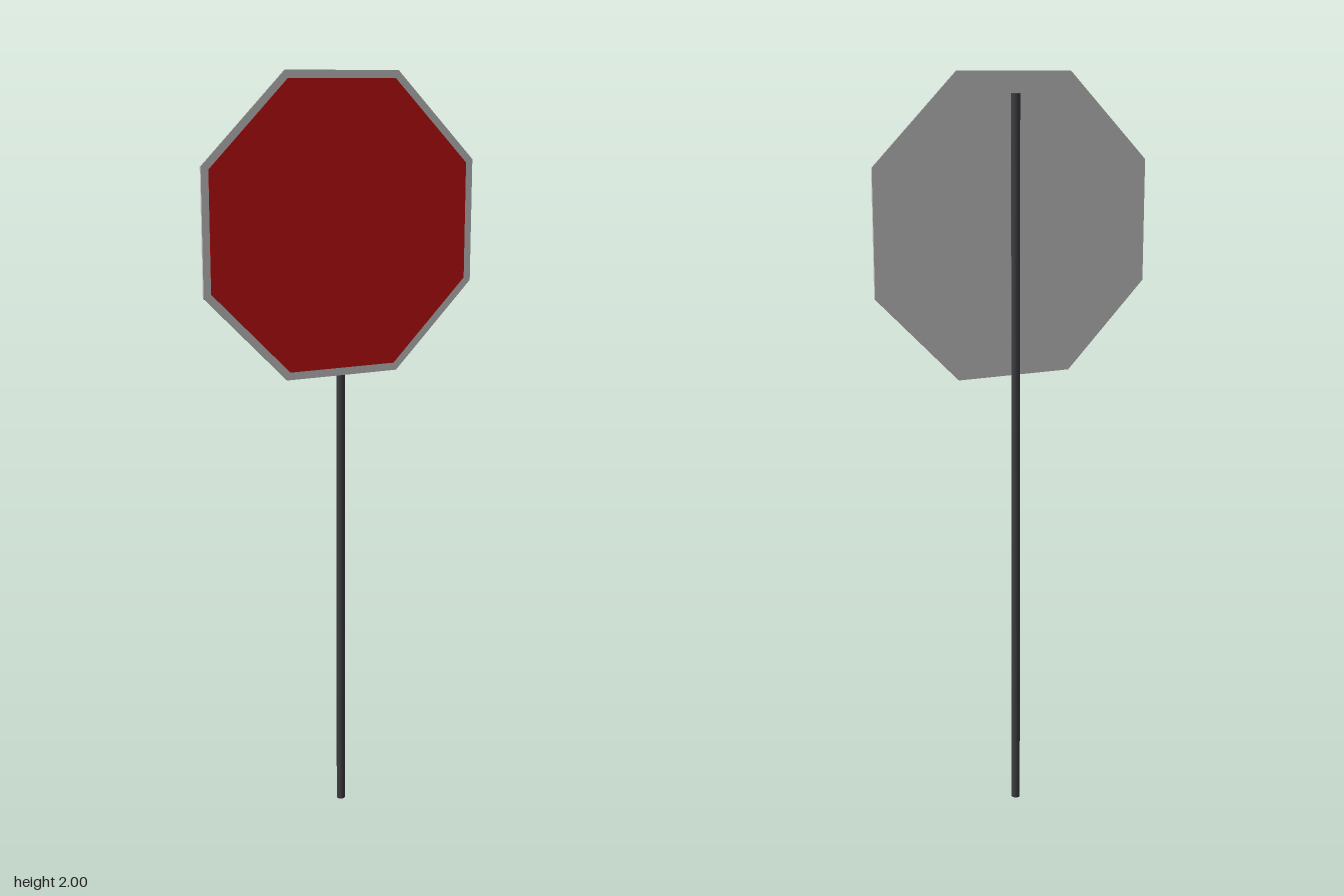
import * as THREE from 'three';

const CENTER_Y = 1.612;

// Regular octagon plate with flat sides up, measured from centre to side
function octagonPlate(name, apothem, depth, z, color) {
  const radius = apothem / Math.cos(Math.PI / 8);
  const points = [];
  for (let i = 0; i < 8; i++) {
    const a = Math.PI / 8 + (i * Math.PI) / 4;
    points.push(new THREE.Vector2(radius * Math.cos(a), radius * Math.sin(a)));
  }
  const geometry = new THREE.ExtrudeGeometry(new THREE.Shape(points), { depth, bevelEnabled: false });
  const mesh = new THREE.Mesh(geometry, new THREE.MeshStandardMaterial({ color }));
  mesh.name = name;
  mesh.position.set(0, CENTER_Y, z);
  return mesh;
}

export function createModel() {
  const model = new THREE.Group();
  model.name = 'roadSign';

  // Round post, ending just below the top of the plate
  const postHeight = 1.945;
  const post = new THREE.Mesh(
    new THREE.CylinderGeometry(0.0115, 0.0115, postHeight, 24),
    new THREE.MeshStandardMaterial({ color: 0x3c3c40 })
  );
  post.name = 'post';
  post.position.set(0, postHeight / 2, -0.001);
  model.add(post);

  // Grey backing plate whose edge shows as the border
  model.add(octagonPlate('backingPlate', 0.388, 0.006, 0.0045, 0xcccccc));

  // Red front panel, slightly proud of the plate
  model.add(octagonPlate('frontPanel', 0.368, 0.001, 0.0102, 0xc81212));

  return model;
}
